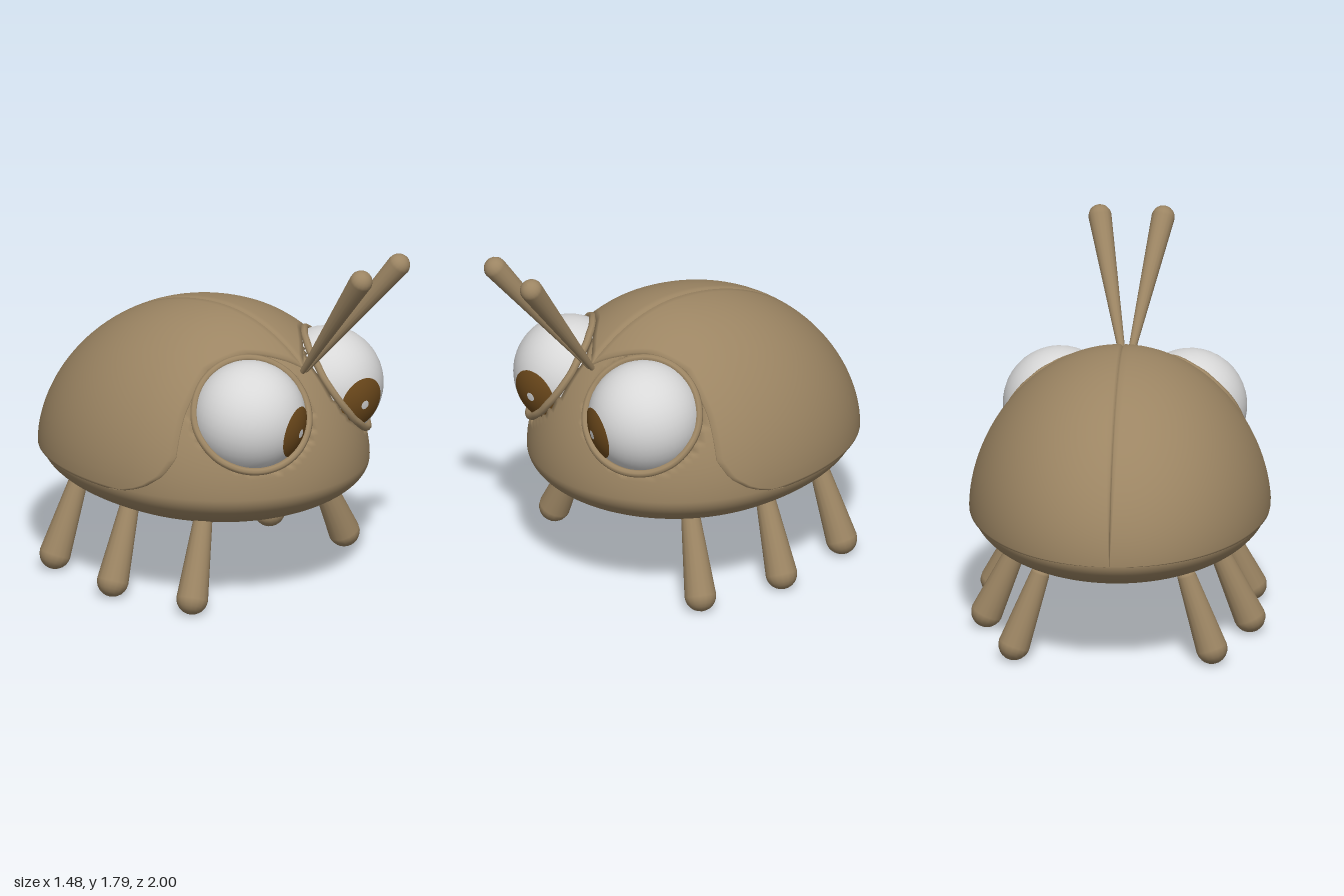
import * as THREE from 'three';
import { mergeVertices } from 'three/addons/utils/BufferGeometryUtils.js';

const V = (x, y, z) => new THREE.Vector3(x, y, z);
const UP = V(0, 1, 0);
const EYE_R = 0.28, RIM_R = 0.287;
const CENTRE = V(0, 0.61, -0.05);
const eyeCentre = (s) => V(0.32 * s, 0.97, 0.38);
const eyeAxis = (s) => V(0.5 * s, 0.49, 0.72).normalize();

// Unit direction -> point on the domed, flat-bellied body
function bodyPoint(d, k = 1) {
  const y = d.y > 0 ? 0.765 * Math.pow(d.y, 1.12) : 0.262 * d.y;
  return V(d.x * 0.725, y, d.z * (d.z > 0 ? 0.76 : 0.93)).multiplyScalar(k).add(CENTRE);
}

function insideBody(p) {
  const q = p.clone().sub(CENTRE);
  const y = q.y > 0 ? Math.pow(q.y / 0.765, 1 / 1.12) : q.y / 0.262;
  return Math.hypot(q.x / 0.725, y, q.z / (q.z > 0 ? 0.76 : 0.93)) < 1.015;
}

// Press points in front of an eye back into its socket
function carve(p) {
  for (const s of [1, -1]) {
    const n = eyeAxis(s), q = p.clone().sub(eyeCentre(s));
    const along = q.dot(n);
    const radial = q.addScaledVector(n, -along).length();
    if (along > -0.03 && radial < RIM_R) p.addScaledVector(n, -0.03 - along);
  }
  return p;
}

function bodyGeometry() {
  let g = new THREE.SphereGeometry(1, 128, 96);
  g.deleteAttribute('uv');
  g.deleteAttribute('normal');
  g = mergeVertices(g);
  const pos = g.attributes.position;
  for (let i = 0; i < pos.count; i++) {
    const p = carve(bodyPoint(V(0, 0, 0).fromBufferAttribute(pos, i)));
    pos.setXYZ(i, p.x, p.y, p.z);
  }
  g.computeVertexNormals();
  return g;
}

// Front limit of a wing case (degrees from the tail) by angle from the top seam
const EDGE = [[0, 133], [10, 125], [20, 116], [35, 108], [55, 107], [72, 108], [80, 104], [86, 97], [92, 84]];
function frontEdge(a) {
  let i = 0;
  while (i < EDGE.length - 2 && a > EDGE[i + 1][0]) i++;
  const [a0, t0] = EDGE[i], [a1, t1] = EDGE[i + 1];
  return t0 + (t1 - t0) * (a - a0) / (a1 - a0);
}

// Wing case: a grid from tail to front edge, with its borders turned inwards
function wingGeometry(s) {
  const N = 48, M = 40, verts = [], index = [], rad = Math.PI / 180;
  for (let i = 0; i <= N + 1; i++) {
    for (let j = 0; j <= M + 2; j++) {
      const a = j === 0 ? 0 : Math.min(0.9 + (j - 1) / M * 91.1, 92);
      const t = (0.2 + Math.min(i / N, 1) * (frontEdge(a) - 0.2)) * rad;
      const k = i > N || j > M + 1 ? 0.985 : j === 0 ? 1.004 : 1.02;
      const d = V(Math.sin(t) * Math.sin(a * rad), Math.sin(t) * Math.cos(a * rad), -Math.cos(t));
      const p = carve(bodyPoint(d, k));
      verts.push(p.x * s, p.y, p.z);
    }
  }
  const W = M + 3;
  for (let i = 0; i <= N; i++) {
    for (let j = 0; j < W - 1; j++) {
      const a = i * W + j, b = a + W, c = b + 1, e = a + 1;
      if (s > 0) index.push(a, b, e, b, c, e);
      else index.push(a, e, b, b, e, c);
    }
  }
  const g = new THREE.BufferGeometry();
  g.setAttribute('position', new THREE.Float32BufferAttribute(verts, 3));
  g.setIndex(index);
  g.computeVertexNormals();
  return g;
}

// Tapered rod with rounded ends from a (radius ra) to b (radius rb)
function rod(a, b, ra, rb) {
  const L = a.distanceTo(b), pts = [];
  for (let i = 0; i <= 4; i++) {
    const t = i / 4 * Math.PI / 2;
    pts.push(new THREE.Vector2(ra * Math.sin(t), -ra * 0.6 * Math.cos(t)));
  }
  for (let i = 0; i <= 6; i++) {
    const t = i / 6 * Math.PI / 2;
    pts.push(new THREE.Vector2(rb * Math.cos(t), L + rb * Math.sin(t)));
  }
  const g = new THREE.LatheGeometry(pts, 16);
  g.applyQuaternion(new THREE.Quaternion().setFromUnitVectors(UP, b.clone().sub(a).normalize()));
  return g.translate(a.x, a.y, a.z);
}

// Part of a sphere whose pole points along dir
function cap(centre, dir, r, start, length) {
  const g = new THREE.SphereGeometry(r, 40, 24, 0, Math.PI * 2, start, length);
  g.applyQuaternion(new THREE.Quaternion().setFromUnitVectors(UP, dir.clone().normalize()));
  return g.translate(centre.x, centre.y, centre.z);
}

// Eyelid ring that rests on the body around the socket
function rimGeometry(s) {
  const c = eyeCentre(s), n = eyeAxis(s);
  const u = V(0, 1, 0).cross(n).normalize(), v = n.clone().cross(u), pts = [];
  for (let i = 0; i < 32; i++) {
    const t = i / 32 * Math.PI * 2;
    const p = c.clone().addScaledVector(u, RIM_R * Math.cos(t)).addScaledVector(v, RIM_R * Math.sin(t));
    let h = 0.1;
    while (h > -0.015 && !insideBody(p.clone().addScaledVector(n, h))) h -= 0.005;
    pts.push(p.addScaledVector(n, h));
  }
  return new THREE.TubeGeometry(new THREE.CatmullRomCurve3(pts, true), 80, 0.019, 8, true);
}

export function createModel() {
  const group = new THREE.Group();
  const material = (name, color) => {
    const m = new THREE.MeshStandardMaterial({ color });
    m.name = name;
    return m;
  };
  const brown = material('shell brown', 0x9c8563);
  const white = material('eye white', 0xd8d8d8);
  const iris = material('iris brown', 0x6e4a1c);
  const add = (name, geometry, mat) => {
    const mesh = new THREE.Mesh(geometry, mat);
    mesh.name = name;
    group.add(mesh);
  };

  add('body', bodyGeometry(), brown);

  // Foot x, hip x, hip z, foot z for the front, middle and rear legs
  const legs = [['front', 0.47, 0.625, 0.21, 0.26], ['middle', 0.49, 0.645, -0.22, -0.21], ['rear', 0.36, 0.485, -0.63, -0.68]];

  for (const [side, s] of [['left', 1], ['right', -1]]) {
    add(side + 'WingCase', wingGeometry(s), brown);

    // Eye with its socket, rim, iris and highlight
    const c = eyeCentre(s), look = V(-0.055 * s, -0.045, 0.27);
    add(side + 'Eye', cap(c, look, EYE_R, 0, Math.PI), white);
    add(side + 'EyeSocket', cap(c, eyeAxis(s), 0.288, Math.PI / 2, Math.PI / 2), brown);
    add(side + 'EyeRim', rimGeometry(s), brown);
    add(side + 'Iris', cap(c, look, EYE_R + 0.004, 0, 0.475), iris);
    add(side + 'PupilDot', cap(c, look, EYE_R + 0.007, 0, 0.08), white);

    add(side + 'Antenna', rod(V(0.012 * s, 1.14, 0.48), V(0.155 * s, 1.743, 0.942), 0.014, 0.057), brown);

    for (const [name, hipX, footX, hipZ, footZ] of legs) {
      add(side + '_' + name + 'Leg', rod(V(hipX * s, 0.44, hipZ), V(footX * s, 0.085, footZ), 0.047, 0.078), brown);
    }
  }
  return group;
}
